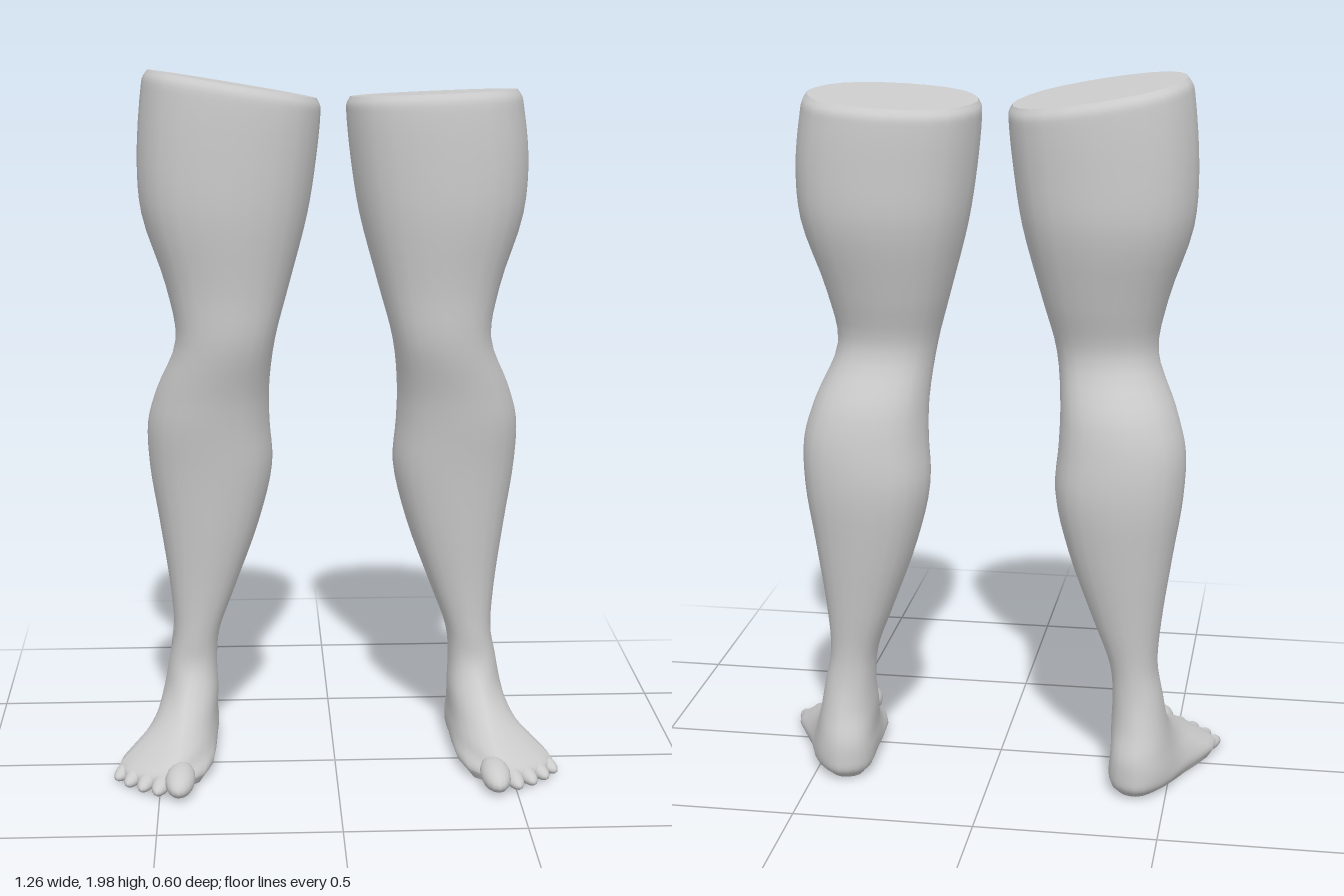
import * as THREE from 'three';

const material = new THREE.MeshStandardMaterial({ color: 0xcccccc, roughness: 0.8 });

// Foot and ankle outlines: [height, 8 x (x, z)] from the heel round the inner side,
// the front and the outer side
const footRows = [
  [0.016, .42, -.255, .37, -.23, .37, -.12, .39, .15, .50, .20, .605, .09, .54, -.08, .47, -.21],
  [0.042, .42, -.285, .352, -.245, .347, -.12, .376, .15, .50, .21, .622, .10, .55, -.08, .488, -.23],
  [0.08, .42, -.288, .35, -.25, .338, -.13, .372, .08, .46, .19, .58, .06, .535, -.10, .488, -.24],
  [0.13, .42, -.283, .355, -.25, .34, -.14, .365, .0, .44, .09, .515, .01, .515, -.12, .48, -.24],
  [0.20, .42, -.258, .36, -.225, .337, -.14, .36, -.05, .43, -.005, .475, -.06, .495, -.14, .475, -.22],
];

// Leg cross-sections: [height, inner x, outer x, back z, front z]
const legRows = [
  [0.28, .34, .48, -.238, -.058],
  [0.37, .332, .464, -.234, -.06],
  [0.50, .285, .472, -.25, -.052],
  [0.70, .213, .50, -.28, -.03],
  [0.87, .174, .525, -.30, -.01],
  [1.00, .181, .527, -.293, .01],
  [1.10, .182, .50, -.27, .027],
  [1.25, .165, .443, -.204, .06],
  [1.40, .125, .468, -.24, .07],
  [1.60, .072, .532, -.293, .094],
  [1.75, .048, .542, -.30, .099],
];

const toes = [ // tip x, tip z, radius, half length, outward turn
  [.447, .30, .042, .085, .05],
  [.508, .265, .027, .07, .22],
  [.552, .235, .026, .07, .28],
  [.592, .197, .025, .065, .34],
  [.624, .15, .024, .06, .42],
];

// Slightly squared oval of 8 control points, in the same order as the foot outlines
function oval(x0, x1, z0, z1, heightAt) {
  const cx = (x0 + x1) / 2, cz = (z0 + z1) / 2, rx = (x1 - x0) / 2, rz = (z1 - z0) / 2, k = 0.73;
  return [[0, -1], [-k, -k], [-1, 0], [-k, k], [0, 1], [k, k], [1, 0], [k, -k]].map(([a, b]) => {
    const x = cx + a * rx, z = cz + b * rz;
    return new THREE.Vector3(x, heightAt(x, z), z);
  });
}

// Fan that closes a ring of points
function capGeometry(ring, flip) {
  const centre = ring.reduce((sum, p) => sum.add(p), new THREE.Vector3()).divideScalar(ring.length);
  const g = new THREE.BufferGeometry().setFromPoints([centre, ...ring]);
  const index = [];
  for (let i = 0; i < ring.length; i++) {
    const a = i + 1, b = (i + 1) % ring.length + 1;
    index.push(0, ...(flip ? [b, a] : [a, b]));
  }
  g.setIndex(index);
  g.computeVertexNormals();
  return g;
}

// side is +1 for the left leg, -1 for the right; cut gives the height of the sloping top
function makeLeg(side, cut) {
  const leg = new THREE.Group();
  const add = (name, geometry) => {
    const mesh = new THREE.Mesh(geometry, material);
    mesh.name = name;
    leg.add(mesh);
    return mesh;
  };

  // Control rows from the sole to the cut top with its rounded rim
  const rows = footRows.map(([y, ...p], r) => Array.from({ length: 8 }, (_, i) =>
    new THREE.Vector3(p[2 * i], y + (r === 0 && i === 2 ? 0.02 : 0), p[2 * i + 1])));
  for (const [y, ...e] of legRows) rows.push(oval(...e, () => y));
  rows.push(oval(.036, .527, -.299, .097, (x, z) => cut(x, z) - 0.05));
  rows.push(oval(.036, .521, -.295, .092, (x, z) => cut(x, z) - 0.02));
  rows.push(oval(.046, .508, -.28, .08, cut));

  // Smooth along the height, then around each ring
  const perRow = 4, around = 24, up = (rows.length - 1) * perRow;
  const columns = rows[0].map((_, i) => new THREE.CatmullRomCurve3(rows.map(row => row[i])));
  const rings = [];
  for (let j = 0; j <= up; j++) {
    const loop = new THREE.CatmullRomCurve3(columns.map(c => c.getPoint(j / up)), true);
    rings.push(Array.from({ length: around }, (_, i) => {
      const p = loop.getPoint(i / around);
      p.x *= side;
      return p;
    }));
  }

  const index = [];
  for (let j = 0; j < up; j++) {
    for (let i = 0; i < around; i++) {
      const n = (i + 1) % around;
      const a = j * around + i, b = j * around + n, c = a + around, d = b + around;
      index.push(...(side > 0 ? [a, b, c, b, d, c] : [b, a, c, d, b, c]));
    }
  }
  const skin = new THREE.BufferGeometry().setFromPoints(rings.flat());
  skin.setIndex(index);
  skin.computeVertexNormals();
  add('legAndFoot', skin);
  add('topCut', capGeometry(rings[up], side < 0));
  add('sole', capGeometry(rings[0], side > 0));

  // Toes fan outward from the ball of the foot
  toes.forEach(([x, z, r, len, turn], i) => {
    const toe = add('toe' + (i + 1), new THREE.SphereGeometry(1, 16, 12));
    toe.scale.set(r, r * 0.85, len);
    toe.rotation.set(0.12, side * turn, 0, 'YXZ');
    toe.position.set(side * (x - Math.sin(turn) * len), 0.012 + r * 0.95, z - Math.cos(turn) * len);
  });
  return leg;
}

export function createModel() {
  const model = new THREE.Group();
  model.name = 'legs';
  const left = makeLeg(1, (x, z) => 1.92 + 0.04 * (x - 0.04) + 0.06 * (z + 0.1));
  left.name = 'leftLeg';
  const right = makeLeg(-1, (x, z) => 1.915 + 0.17 * (x - 0.04) + 0.06 * (z + 0.1));
  right.name = 'rightLeg';
  model.add(left, right);
  return model;
}
